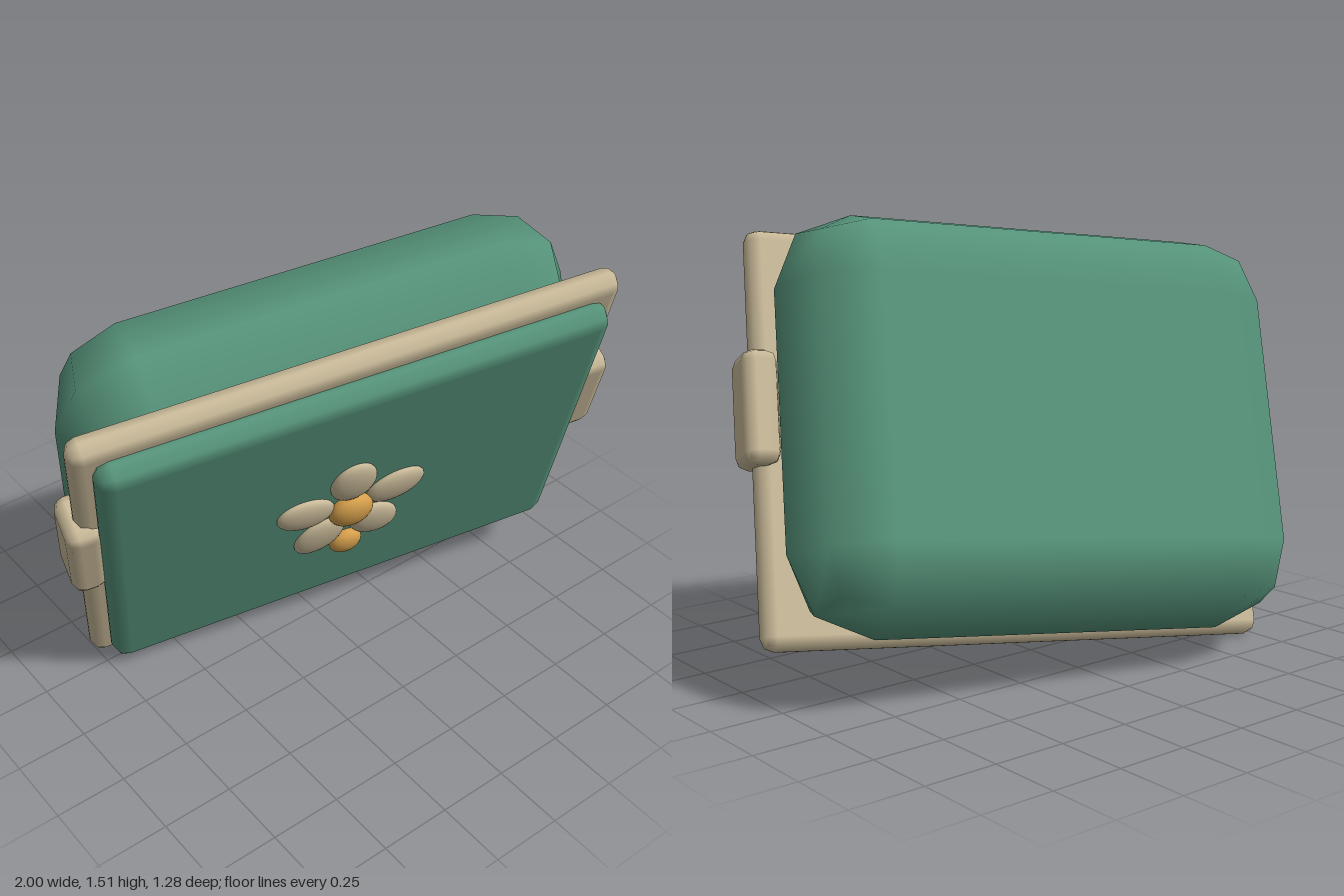
import * as THREE from 'three';
import { RoundedBoxGeometry } from 'three/addons/geometries/RoundedBoxGeometry.js';

const material = (name, color) => {
  const m = new THREE.MeshStandardMaterial({ color });
  m.name = name;
  return m;
};

export function createModel() {
  const green = material('case green', 0x56937a);
  const beige = material('trim beige', 0xc8b998);
  const amber = material('flower amber', 0xd6a04c);

  const model = new THREE.Group();
  model.name = 'tiltedCase';

  // Everything is built square in this group, which is then tilted
  const box = new THREE.Group();
  box.name = 'case';
  box.position.set(0, 0.737, 0.115);
  box.rotation.set(0.39, -0.21, 0.185);
  model.add(box);

  const add = (name, geometry, mat, x, y, z, parent = box) => {
    const mesh = new THREE.Mesh(geometry, mat);
    mesh.name = name;
    mesh.position.set(x, y, z);
    parent.add(mesh);
    return mesh;
  };
  const rounded = (w, h, d, r) => new RoundedBoxGeometry(w, h, d, 1, r);

  // Deep body with softly bevelled edges, rim plate and lid
  add('body', rounded(1.77, 1.39, 0.54, 0.27), green, 0, 0, -0.228);
  add('rim', rounded(1.83, 1.4, 0.1, 0.045), beige, 0, 0, 0);
  add('lid', rounded(1.71, 1.295, 0.12, 0.055), green, 0, 0, 0.07);

  // Clasps on both sides of the rim
  for (const side of [1, -1]) {
    add(side > 0 ? 'leftClasp' : 'rightClasp',
      rounded(0.12, 0.38, 0.19, 0.04), beige, side * 0.898, 0.082, -0.01);
  }

  // Flower on the lid
  const flower = new THREE.Group();
  flower.name = 'flower';
  flower.position.set(-0.01, -0.018, 0.13);
  box.add(flower);
  const ball = new THREE.SphereGeometry(1, 24, 16);
  for (let i = 0; i < 5; i++) {
    const a = Math.PI / 2 + (i * Math.PI * 2) / 5;
    const petal = add('petal', ball, beige, 0.172 * Math.cos(a), 0.172 * Math.sin(a), 0.005, flower);
    petal.scale.set(0.106, 0.082, 0.03);
    petal.rotation.z = a;
  }
  add('flowerCentre', ball, amber, 0, 0, 0.015, flower).scale.set(0.08, 0.08, 0.045);
  add('bud', ball, amber, 0, -0.23, 0.012, flower).scale.set(0.06, 0.06, 0.035);

  return model;
}
